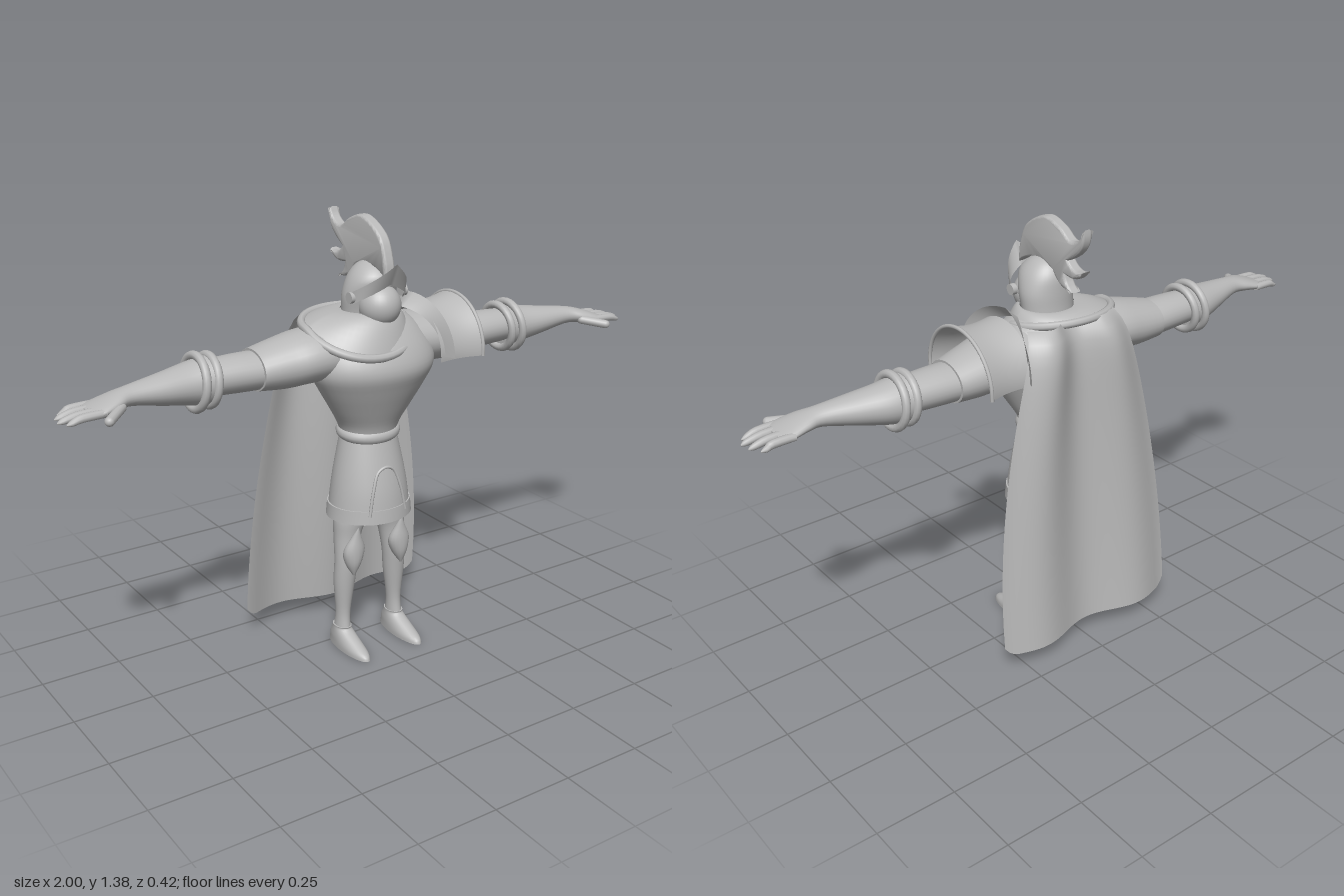
import * as THREE from 'three';
import { toCreasedNormals } from 'three/addons/utils/BufferGeometryUtils.js';
import { ParametricGeometry } from 'three/addons/geometries/ParametricGeometry.js';

const grey = new THREE.MeshStandardMaterial({ color: 0xb8b8b8, side: THREE.DoubleSide });
grey.name = 'grey';

function add(parent, name, geometry) {
  const mesh = new THREE.Mesh(geometry, grey);
  mesh.name = name;
  parent.add(mesh);
  return mesh;
}

// Catmull-Rom subdivision of section rows
function refine(rows, steps) {
  const out = [];
  for (let i = 0; i < rows.length - 1; i++) {
    const [a, b, c, d] = [-1, 0, 1, 2].map(k => rows[THREE.MathUtils.clamp(i + k, 0, rows.length - 1)]);
    for (let s = 0; s < steps; s++) {
      const t = s / steps;
      out.push(b.map((p, k) => p + 0.5 * t * (c[k] - a[k] +
        t * (2 * a[k] - 5 * p + 4 * c[k] - d[k] + t * (3 * (p - c[k]) + d[k] - a[k])))));
    }
  }
  out.push(rows[rows.length - 1]);
  return out;
}

// Elliptical sections. Axis y rows: [y, cx, cz, rx, rz]; axis x rows: [x, cy, cz, ry, rz]
function loft(axis, rows, n = 28, steps = 4) {
  const pos = [], index = [], rings = refine(rows, steps);
  const ring = ([t, c1, c2, r1, r2]) => {
    for (let j = 0; j < n; j++) {
      const a = j / n * Math.PI * 2, p = c1 + r1 * Math.cos(a), q = r2 * Math.sin(a);
      if (axis === 'y') pos.push(p, t, c2 + q); else pos.push(t, p, c2 - q);
    }
  };
  rings.forEach(ring);
  for (let i = 0; i < rings.length - 1; i++) for (let j = 0; j < n; j++) {
    const a = i * n + j, b = i * n + (j + 1) % n;
    index.push(a, a + n, b, b, a + n, b + n);
  }
  // flat end caps with their own vertices
  [rings[0], rings[rings.length - 1]].forEach((r, end) => {
    const base = pos.length / 3;
    ring(r);
    if (axis === 'y') pos.push(r[1], r[0], r[2]); else pos.push(r[0], r[1], r[2]);
    for (let j = 0; j < n; j++) {
      const a = base + j, b = base + (j + 1) % n;
      index.push(base + n, end ? b : a, end ? a : b);
    }
  });
  const g = new THREE.BufferGeometry();
  g.setAttribute('position', new THREE.Float32BufferAttribute(pos, 3));
  g.setIndex(index);
  g.computeVertexNormals();
  return g;
}

const sheet = (nu, nv, fn) => new ParametricGeometry((u, v, p) => p.set(...fn(u, v)), nu, nv);
const tube = (points, r, closed = false) => new THREE.TubeGeometry(
  new THREE.CatmullRomCurve3(points.map(p => new THREE.Vector3(...p)), closed), 48, r, 8, closed);

function makeArm() {
  const arm = new THREE.Group();
  add(arm, 'upperSleeve', loft('x', [[0.08, 0.985, 0.02, 0.085, 0.11], [0.22, 0.98, 0.02, 0.08, 0.11],
    [0.3, 0.97, 0.015, 0.075, 0.098], [0.385, 0.962, 0.01, 0.062, 0.083]]));
  add(arm, 'elbow', loft('x', [[0.36, 0.96, 0.01, 0.057, 0.075], [0.45, 0.962, 0.01, 0.056, 0.07], [0.58, 0.962, 0.01, 0.05, 0.06]]));
  add(arm, 'glove', loft('x', [[0.535, 0.957, 0.01, 0.072, 0.075], [0.6, 0.957, 0.012, 0.06, 0.068],
    [0.68, 0.96, 0.025, 0.046, 0.055], [0.78, 0.965, 0.04, 0.029, 0.038], [0.83, 0.96, 0.048, 0.024, 0.05],
    [0.88, 0.95, 0.052, 0.018, 0.06], [0.915, 0.945, 0.052, 0.01, 0.054]]));
  // two rolled cuff rings
  [[0.53, 0.072], [0.57, 0.077]].forEach(([x, r]) => {
    const cuff = add(arm, 'cuffRing', new THREE.TorusGeometry(r, 0.013, 10, 32).rotateY(Math.PI / 2).rotateZ(0.1));
    cuff.position.set(x, 0.957, 0.01);
  });
  // four fingers and a thumb
  [[0.004, 0.975], [0.036, 0.995], [0.07, 1.0], [0.098, 0.985]].forEach(([z, tip]) =>
    add(arm, 'finger', loft('x', [[0.875, 0.948, z, 0.012, 0.014], [0.94, 0.946, z, 0.012, 0.013],
      [tip - 0.015, 0.938, z, 0.009, 0.01], [tip, 0.934, z, 0.002, 0.002]], 10, 3)));
  const thumb = add(arm, 'thumb', new THREE.CapsuleGeometry(0.014, 0.08, 6, 12).rotateZ(Math.PI / 2));
  thumb.position.set(0.855, 0.945, 0.115);
  thumb.rotation.set(0, -0.75, -0.15);
  return arm;
}

function makeLeg() {
  const leg = new THREE.Group();
  add(leg, 'leg', loft('y', [[0.06, 0.1, 0.04, 0.024, 0.034], [0.12, 0.098, 0.042, 0.023, 0.026], [0.22, 0.095, 0.045, 0.034, 0.034],
    [0.3, 0.09, 0.05, 0.038, 0.037], [0.38, 0.083, 0.045, 0.044, 0.042], [0.44, 0.072, 0.045, 0.056, 0.048], [0.5, 0.06, 0.04, 0.06, 0.05]]));
  add(leg, 'shoe', loft('y', [[0, 0.1, 0.083, 0.033, 0.107], [0.015, 0.1, 0.08, 0.033, 0.1],
    [0.035, 0.1, 0.06, 0.031, 0.075], [0.06, 0.1, 0.04, 0.027, 0.04], [0.07, 0.1, 0.04, 0.027, 0.037]]));
  add(leg, 'kneeGuard', loft('y', [[0.26, 0.09, 0.092, 0.002, 0.004], [0.3, 0.088, 0.085, 0.026, 0.026],
    [0.345, 0.085, 0.088, 0.036, 0.026], [0.39, 0.083, 0.098, 0.017, 0.013], [0.425, 0.082, 0.109, 0.001, 0.001]], 16));
  return leg;
}

export function createModel() {
  const model = new THREE.Group();
  model.name = 'knight';

  // mirrored limbs
  [['left', 1], ['right', -1]].forEach(([side, s]) => {
    const arm = makeArm(), leg = makeLeg();
    arm.name = side + 'Arm';
    leg.name = side + 'Leg';
    arm.scale.x = leg.scale.x = s;
    model.add(arm, leg);
  });

  // body
  add(model, 'torso', loft('y', [[0.69, 0, 0.037, 0.09, 0.075], [0.74, 0, 0.04, 0.1, 0.083], [0.8, 0, 0.05, 0.135, 0.1],
    [0.87, 0, 0.057, 0.178, 0.125], [0.93, 0, 0.058, 0.208, 0.145], [0.99, 0, 0.045, 0.2, 0.14],
    [1.05, 0, 0.025, 0.16, 0.118], [1.085, 0, 0.02, 0.1, 0.08]], 40));
  const belt = add(model, 'belt', new THREE.TorusGeometry(0.087, 0.018, 12, 40).rotateX(Math.PI / 2).scale(1, 1.1, 0.84));
  belt.position.set(0, 0.717, 0.038);
  belt.rotation.x = 0.13;

  // tunic skirt with hem band and arched front piping
  add(model, 'skirt', loft('y', [[0.45, 0, 0.042, 0.134, 0.12], [0.53, 0, 0.042, 0.125, 0.112],
    [0.61, 0, 0.04, 0.112, 0.098], [0.72, 0, 0.037, 0.09, 0.074]], 40));
  add(model, 'skirtHem', loft('y', [[0.445, 0, 0.042, 0.139, 0.124], [0.488, 0, 0.042, 0.135, 0.12]], 40, 1));
  add(model, 'frontPiping', tube([[-0.066, 0.47, 0.147], [-0.05, 0.55, 0.143], [-0.028, 0.605, 0.136], [0, 0.618, 0.137],
    [0.028, 0.605, 0.136], [0.05, 0.55, 0.143], [0.066, 0.47, 0.147]], 0.005));

  // draped cowl, lower at the front and wider over the right shoulder
  const rim = a => [-0.045 + 0.17 * Math.cos(a), 1.06 - 0.075 * Math.max(0, Math.sin(a)) - 0.02 * Math.min(0, Math.sin(a)),
    0.04 + 0.145 * Math.sin(a)];
  add(model, 'cowl', sheet(48, 8, (u, v) => {
    const a = u * Math.PI * 2, [x, y, z] = rim(a), lerp = THREE.MathUtils.lerp;
    return [lerp(0.085 * Math.cos(a), x, v), lerp(1.1, y, v * v), lerp(0.035 + 0.08 * Math.sin(a), z, v)];
  }));
  add(model, 'cowlRim', tube(Array.from({ length: 24 }, (_, i) => rim(i / 24 * Math.PI * 2)), 0.013, true));

  // left shoulder armour: wide plate and peaked inner guard
  const arc = (x, r, t) => [x, 0.945 + r * Math.cos(t), 0.03 + r * Math.sin(t)];
  add(model, 'shoulderPlate', sheet(32, 8, (u, v) =>
    arc(0.17 + 0.155 * v, 0.15 - 0.01 * Math.sin(v * Math.PI) + 0.008 * v, (u - 0.5) * 3.3)));
  add(model, 'shoulderPlateRim', tube(Array.from({ length: 17 }, (_, i) => arc(0.325, 0.158, (i / 16 - 0.5) * 3.3)), 0.006));
  add(model, 'shoulderGuard', sheet(32, 6, (u, v) => {
    const t = (u - 0.5) * 3.1, k = Math.abs(Math.sin(t));
    return arc(0.115 + 0.07 * k + v * (0.045 - 0.03 * k), 0.14 + 0.04 * v, t);
  }));

  // helmet, face and plume
  add(model, 'helmet', loft('y', [[1.04, 0, 0.03, 0.082, 0.065], [1.1, 0, 0.035, 0.086, 0.064], [1.15, 0, 0.043, 0.087, 0.07],
    [1.2, 0, 0.053, 0.07, 0.074], [1.235, 0, 0.05, 0.038, 0.045], [1.25, 0, 0.048, 0.001, 0.001]], 36));
  const face = add(model, 'face', new THREE.SphereGeometry(0.065, 32, 20));
  face.position.set(0, 1.118, 0.097);
  add(model, 'visor', sheet(32, 4, (u, v) => {
    const s = u * 2 - 1, k = 1 - Math.abs(s), a = s * 1.5;
    const low = 1.125 + 0.065 * k, high = 1.165 + 0.09 * Math.pow(k, 1.3);
    return [0.093 * Math.sin(a), low + (high - low) * v, 0.075 + (0.078 + 0.032 * v * k) * Math.cos(a)];
  }));
  [-1, 1].forEach(s => {
    const pivot = add(model, 'visorPivot', new THREE.CylinderGeometry(0.017, 0.017, 0.016, 20).rotateZ(Math.PI / 2));
    pivot.position.set(s * 0.092, 1.15, 0.085);
  });
  const plume = new THREE.Shape();
  plume.moveTo(0.155, 1.2);
  plume.splineThru([[0.148, 1.26], [0.115, 1.33], [0.03, 1.375], [-0.04, 1.36], [-0.09, 1.33], [-0.13, 1.345], [-0.148, 1.375]].map(p => new THREE.Vector2(...p)));
  plume.quadraticCurveTo(-0.165, 1.31, -0.08, 1.268);
  plume.quadraticCurveTo(-0.11, 1.235, -0.148, 1.25);
  plume.quadraticCurveTo(-0.125, 1.205, -0.065, 1.222);
  plume.quadraticCurveTo(-0.075, 1.185, -0.105, 1.175);
  plume.quadraticCurveTo(-0.045, 1.165, -0.01, 1.22);
  plume.quadraticCurveTo(0.07, 1.26, 0.155, 1.2);
  add(model, 'plume', toCreasedNormals(new THREE.ExtrudeGeometry(plume, { depth: 0.008, curveSegments: 8,
    bevelThickness: 0.014, bevelSize: 0.008, bevelOffset: -0.008, bevelSegments: 4 })
    .translate(0, 0, -0.004).rotateY(-Math.PI / 2), 0.8));

  // long cape with soft folds and rounded lower corners
  add(model, 'cape', sheet(48, 32, (u, v) => {
    const s = u * 2 - 1, corner = Math.max(0, (Math.abs(s) - 0.88) / 0.12);
    const half = 0.16 + 0.17 * Math.pow(Math.sin(v * Math.PI / 2), 0.8);
    return [s * half, 1.085 - 1.02 * v + 0.03 * v * corner ** 2,
      -0.14 - 0.045 * v * v + 0.022 * Math.cos(s * Math.PI * 1.72) + 0.05 * Math.exp(-v * 25)];
  }));
  return model;
}
